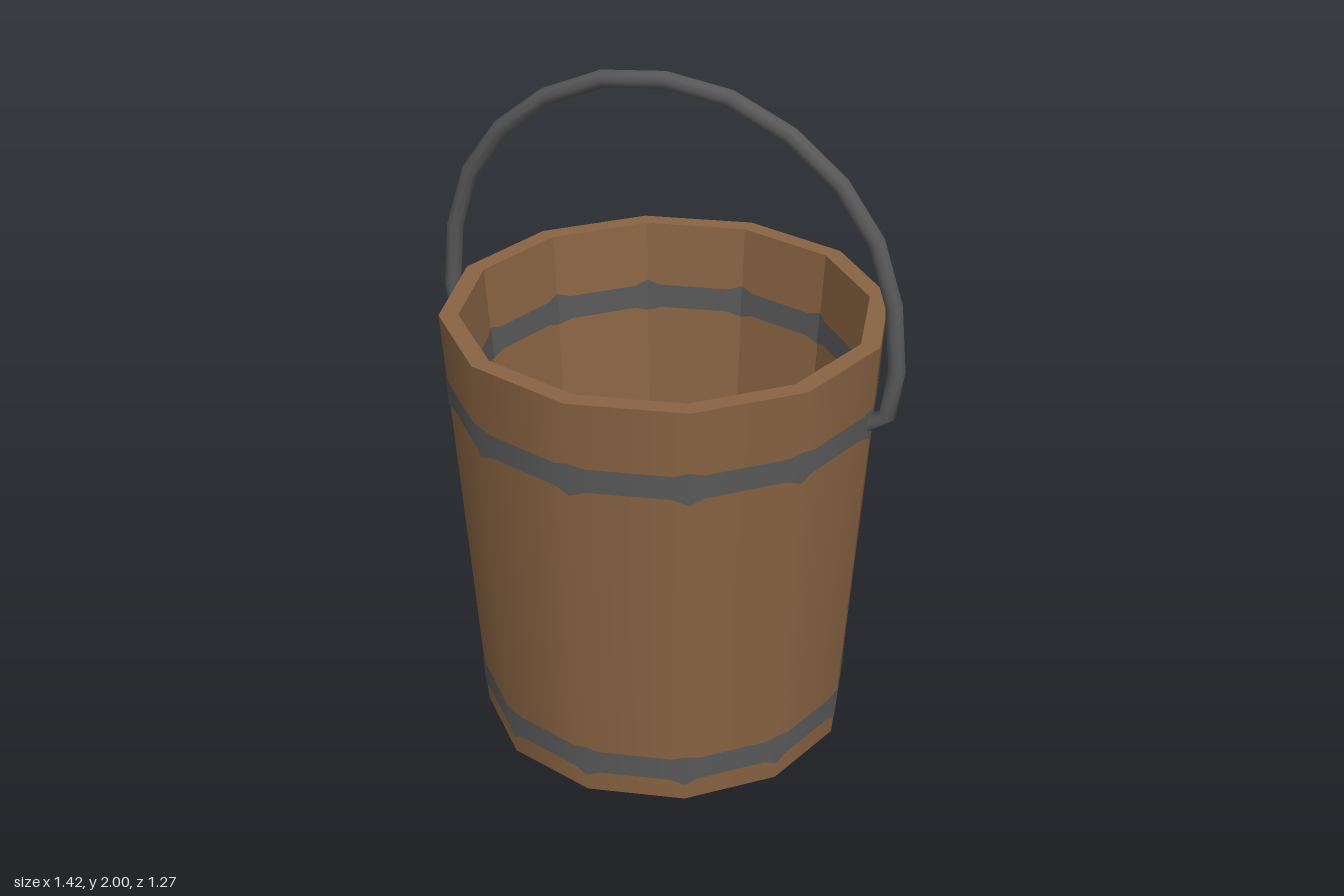
import * as THREE from 'three';

const SIDES = 12, HEIGHT = 1.31;
const WALL = 0.055; // stave thickness
const outerRadius = (y) => 0.545 + (0.09 * y) / HEIGHT;

const lathe = (pts) => new THREE.LatheGeometry(pts.map(([x, y]) => new THREE.Vector2(x, y)), SIDES);

function flat(geometry) {
  const g = geometry.toNonIndexed();
  g.computeVertexNormals();
  return g;
}

// Thin hoop following the twelve-sided wall, flaring slightly at every corner
function hoop(y0, y1, inside) {
  const pos = [], nor = [], idx = [];
  const corner = (k, y) => {
    const r = outerRadius(y) + (inside ? -WALL - 0.003 : 0.003);
    const a = (k / SIDES) * Math.PI * 2;
    return new THREE.Vector3(r * Math.sin(a), y, r * Math.cos(a));
  };
  const steps = [0, 0.14, 0.86];
  const count = SIDES * steps.length;
  for (let i = 0; i <= count; i++) {
    const k = Math.floor(i / 3), t = steps[i % 3];
    const flare = t === 0 ? 0.014 : 0;
    for (const y of [y0 - flare, y1 + flare]) {
      const p = corner(k, y).lerp(corner(k + 1, y), t);
      const n = new THREE.Vector3(p.x, 0, p.z).normalize().multiplyScalar(inside ? -1 : 1);
      pos.push(p.x, p.y, p.z);
      nor.push(n.x, n.y, n.z);
    }
    if (i < count) {
      const a = 2 * i, b = a + 2, c = a + 3, d = a + 1;
      if (inside) idx.push(a, c, b, a, d, c);
      else idx.push(a, b, c, a, c, d);
    }
  }
  const g = new THREE.BufferGeometry();
  g.setAttribute('position', new THREE.Float32BufferAttribute(pos, 3));
  g.setAttribute('normal', new THREE.Float32BufferAttribute(nor, 3));
  g.setIndex(idx);
  return inside ? flat(g) : g;
}

// Path through given points with straight runs between them
class PointPath extends THREE.Curve {
  constructor(points) {
    super();
    this.points = points;
  }
  getPoint(t, target = new THREE.Vector3()) {
    const n = this.points.length - 1;
    const s = Math.min(Math.max(t, 0), 1) * n;
    const i = Math.min(Math.floor(s), n - 1);
    return target.lerpVectors(this.points[i], this.points[i + 1], s - i);
  }
  getPointAt(t, target) { return this.getPoint(t, target); }
  getTangentAt(t, target) { return this.getTangent(t, target); }
}

export function createModel() {
  const bucket = new THREE.Group();
  bucket.name = 'bucket';
  const wood = new THREE.MeshStandardMaterial({ color: 0x8a6443 });
  wood.name = 'wood';
  const iron = new THREE.MeshStandardMaterial({ color: 0x585858 });
  iron.name = 'iron';

  const add = (name, geometry, material) => {
    const mesh = new THREE.Mesh(geometry, material);
    mesh.name = name;
    bucket.add(mesh);
  };

  // Wooden vessel: smooth outside, faceted inside
  const top = outerRadius(HEIGHT), base = outerRadius(0), floorY = 0.03;
  add('outerWall', lathe([[base, 0], [top, HEIGHT]]), wood);
  add('rim', flat(lathe([[top, HEIGHT], [top - WALL, HEIGHT]])), wood);
  add('innerWall', flat(lathe([[top - WALL, HEIGHT], [outerRadius(floorY) - WALL, floorY]])), wood);
  add('floor', flat(lathe([[outerRadius(floorY) - WALL, floorY], [0, floorY]])), wood);
  add('underside', flat(lathe([[0, 0], [base, 0]])), wood);

  // Iron hoops, showing on both faces of the wall
  for (const [name, y0, y1] of [['lowerHoop', 0.068, 0.145], ['upperHoop', 1.04, 1.113]]) {
    add(name + 'Outside', hoop(y0, y1, false), iron);
    add(name + 'Inside', hoop(y0, y1, true), iron);
  }

  // Arched handle, hooked into the wall at both ends
  const half = [[0.59, 1.06], [0.665, 1.11], [0.685, 1.25], [0.667, 1.44], [0.61, 1.615],
    [0.505, 1.76], [0.36, 1.875], [0.185, 1.952]];
  const arch = [
    ...half.map(([x, y]) => new THREE.Vector3(-x, y, 0)),
    new THREE.Vector3(0, 1.975, 0),
    ...half.slice().reverse().map(([x, y]) => new THREE.Vector3(x, y, 0)),
  ];
  add('handle', new THREE.TubeGeometry(new PointPath(arch), arch.length - 1, 0.025, 8), iron);

  return bucket;
}
